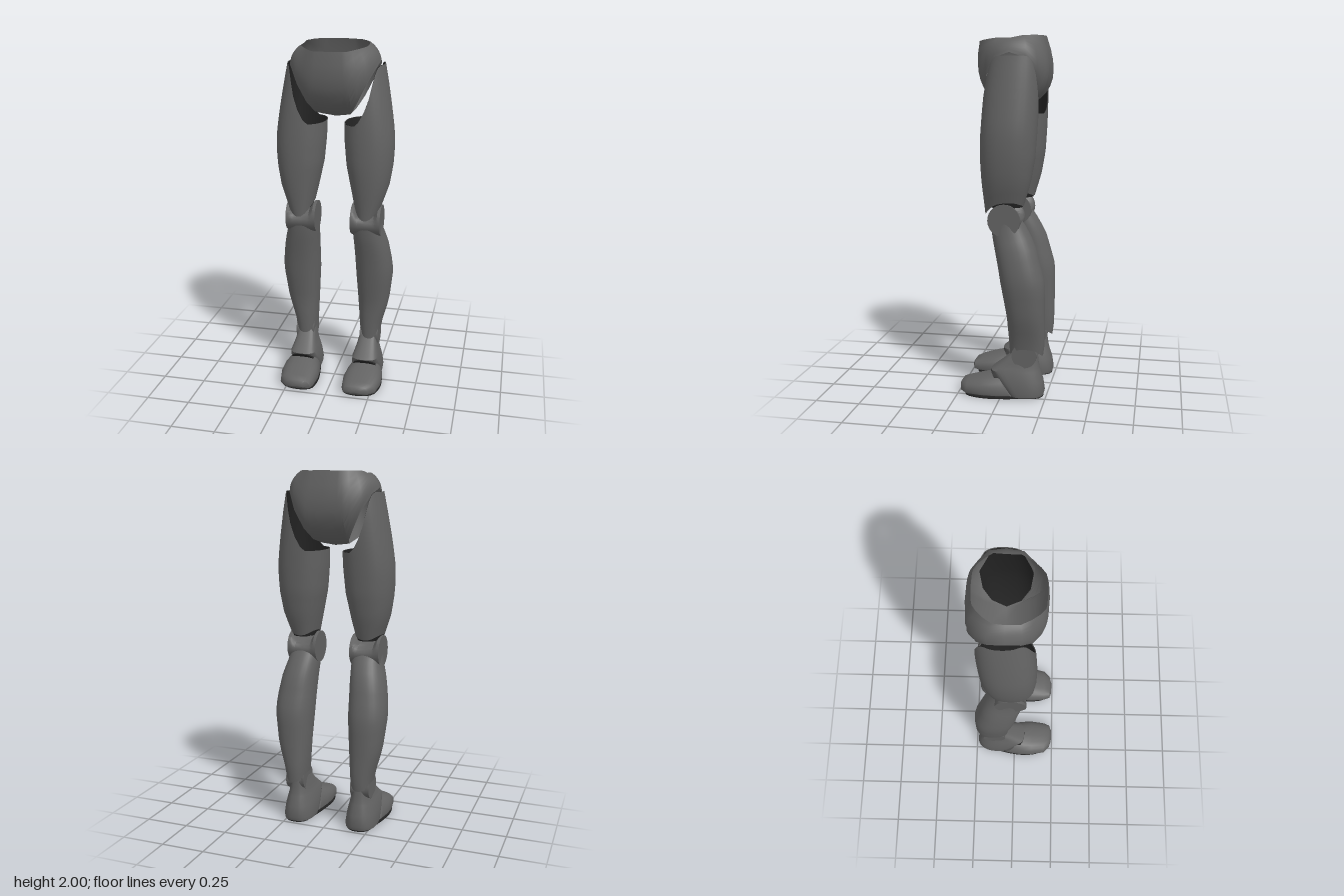
import * as THREE from 'three';
import { mergeVertices, toCreasedNormals } from 'three/addons/utils/BufferGeometryUtils.js';

const grey = new THREE.MeshStandardMaterial({ color: 0x626262, side: THREE.DoubleSide });
grey.name = 'mid grey';
const black = new THREE.MeshStandardMaterial({ color: 0x242424, side: THREE.DoubleSide });
black.name = 'near black';

// Skin a list of closed loops; optional flat caps on the first and last loop
function loft(loops, capStart = false, capEnd = false, crease = 0.7) {
  const n = loops[0].length, pos = loops.flat(2), idx = [];
  for (let i = 0; i < loops.length - 1; i++) {
    for (let j = 0; j < n; j++) {
      const k = (j + 1) % n, a = i * n + j, b = i * n + k;
      idx.push(a, a + n, b, b, a + n, b + n);
    }
  }
  const cap = (loop, flip) => {
    const c = pos.length / 3;
    const mid = [0, 1, 2].map(d => loop.reduce((s, p) => s + p[d], 0) / n);
    pos.push(...mid, ...loop.flat());
    for (let j = 0; j < n; j++) {
      const a = c + 1 + j, b = c + 1 + (j + 1) % n;
      idx.push(c, flip ? b : a, flip ? a : b);
    }
  };
  if (capStart) cap(loops[0], false);
  if (capEnd) cap(loops[loops.length - 1], true);
  const g = new THREE.BufferGeometry();
  g.setAttribute('position', new THREE.Float32BufferAttribute(pos, 3));
  g.setIndex(idx);
  return toCreasedNormals(mergeVertices(g, 1e-4), crease);
}

function part(name, geometry, material = grey) {
  const m = new THREE.Mesh(geometry, material);
  m.name = name;
  return m;
}

// Linear lookup in a table whose first column is the key
function lookup(table, key) {
  let i = 0;
  while (i < table.length - 2 && key > table[i + 1][0]) i++;
  const [a, b] = [table[i], table[i + 1]];
  const t = THREE.MathUtils.clamp((key - a[0]) / (b[0] - a[0]), 0, 1);
  return a.map((v, d) => v + (b[d] - v) * t);
}

const pw = (v, e) => Math.sign(v) * Math.pow(Math.abs(v), e);
const ring = (n, fn) => Array.from({ length: n }, (_, j) => fn(j / n * Math.PI * 2));

// Limb shell from rows [y, xIn, xOut, zBack, zFront], trimmed by bottom(a) and top(a)
function limb(table, bottom, top, inset = 0, rows = 14) {
  return Array.from({ length: rows + 1 }, (_, i) => ring(32, a => {
    const y = THREE.MathUtils.lerp(bottom(a), top(a), i / rows);
    const [, x0, x1, z0, z1] = lookup(table, y);
    return [(x0 + x1) / 2 + ((x1 - x0) / 2 - inset) * pw(Math.cos(a), 0.85), y,
      (z0 + z1) / 2 + ((z1 - z0) / 2 - inset) * pw(Math.sin(a), 0.85)];
  }));
}

// Hinge barrel along x with a saddle-shaped notch on top
function hinge(name, r, half, x, y, z) {
  const loops = [-1, -0.8, -0.65, -0.5, 0, 0.5, 0.65, 0.8, 1].map(t => {
    const dip = 0.45 * (1 - THREE.MathUtils.smoothstep(Math.abs(t), 0.4, 0.85));
    return ring(28, a => {
      const rr = r * (1 - dip * THREE.MathUtils.smoothstep(Math.sin(a), -0.2, 0.7));
      return [x + half * t, y + rr * Math.sin(a), z + rr * Math.cos(a)];
    });
  });
  return part(name, loft(loops, true, true));
}

// Pelvis shell: each column runs from waist rim to leg opening (or crotch)
function pelvis() {
  const zc = -0.045, backScale = [0.8, 1.1, 1];
  const cols = [ // rim, bulge, end
    [[0.18, 1.985, -0.045], [0.23, 1.968, -0.045], [0.25, 1.908, -0.045]],
    [[0.178, 1.985, 0.03], [0.232, 1.95, 0.045], [0.238, 1.88, 0.035]],
    [[0.15, 1.98, 0.08], [0.215, 1.88, 0.1], [0.187, 1.785, 0.09]],
    [[0.12, 1.975, 0.12], [0.16, 1.8, 0.17], [0.14, 1.69, 0.075]],
    [[0.09, 1.97, 0.145], [0.118, 1.72, 0.19], [0.103, 1.63, 0.03]],
    [[0.07, 1.97, 0.15], [0.09, 1.68, 0.205], [0.08, 1.605, -0.045]],
    [[0, 1.97, 0.155], [0, 1.66, 0.21], [0, 1.595, -0.045]],
  ];
  const around = [];
  const add = (k, sx, sz) => around.push(cols[k].map(([x, y, z], r) => sz > 0 ? [x * sx, y, z]
    : [x * sx, r === 0 ? y + 0.03 * (z - zc) / 0.2 : y, zc - (z - zc) * backScale[r]]));
  for (let k = 0; k <= 6; k++) add(k, 1, 1);
  for (let k = 5; k >= 0; k--) add(k, -1, 1);
  for (let k = 1; k <= 6; k++) add(k, -1, -1);
  for (let k = 5; k >= 1; k--) add(k, 1, -1);
  const curves = around.map(c =>
    new THREE.QuadraticBezierCurve3(...c.map(p => new THREE.Vector3(...p))));
  const loops = [];
  for (let i = 8; i >= 0; i--) loops.push(curves.map(c => c.getPoint(i / 8).toArray()));
  return part('pelvis', loft(loops, false, false, 1.0));
}

function leg() {
  const g = new THREE.Group();

  // Thigh: open shell, scooped out at the hip and arched over the knee, with a dark lining
  const thigh = [
    [1.03, 0.135, 0.245, -0.1, 0.095], [1.09, 0.122, 0.265, -0.12, 0.1],
    [1.21, 0.095, 0.307, -0.155, 0.112], [1.34, 0.068, 0.328, -0.178, 0.12],
    [1.47, 0.056, 0.333, -0.187, 0.118], [1.57, 0.053, 0.322, -0.192, 0.112],
    [1.67, 0.053, 0.307, -0.195, 0.104], [1.79, 0.055, 0.287, -0.195, 0.087],
    [1.89, 0.06, 0.268, -0.19, 0.075],
  ];
  const hip = a => 1.57 + 0.318 * THREE.MathUtils.smoothstep(Math.cos(a), -0.4, 0.85);
  const overKnee = a => 1.06 + 0.045 * Math.cos(a) ** 2 - 0.025 * Math.sin(a);
  g.add(part('thigh', loft(limb(thigh, overKnee, hip))));
  g.add(part('thighLining', loft(limb(thigh, () => 1.078, hip, 0.005), true), black));

  g.add(hinge('knee', 0.09, 0.085, 0.187, 1.01, -0.02));

  // Shin: bows backward at the calf and is arched over the ankle
  const shin = [
    [0.23, 0.142, 0.253, -0.23, -0.045], [0.31, 0.134, 0.262, -0.24, -0.04],
    [0.465, 0.124, 0.305, -0.24, -0.03], [0.66, 0.112, 0.328, -0.24, 0.005],
    [0.75, 0.11, 0.32, -0.215, 0.02], [0.86, 0.106, 0.302, -0.185, 0.043],
    [0.95, 0.102, 0.275, -0.14, 0.062], [1.02, 0.104, 0.27, -0.09, 0.06],
  ];
  g.add(part('shin', loft(limb(shin, a => 0.24 + 0.045 * Math.cos(a) ** 2,
    a => 0.995 - 0.025 * Math.sin(a)), false, true)));

  g.add(hinge('ankle', 0.07, 0.055, 0.197, 0.245, -0.13));

  // Heel shell: horizontal loops, wider toward the slanted front edge
  const heel = [ // y, half width, back, front
    [0.007, 0.086, -0.233, -0.05], [0.03, 0.09, -0.24, -0.028], [0.09, 0.086, -0.232, 0.018],
    [0.15, 0.076, -0.214, 0.063], [0.165, 0.07, -0.21, 0.045],
    [0.2, 0.06, -0.204, 0], [0.255, 0.048, -0.198, -0.06],
  ].map(([y, w, z0, z1]) => ring(32, a => {
    const s = Math.sin(a);
    return [0.19 + w * (1 + 0.18 * s) * pw(Math.cos(a), 0.7), y,
      (z0 + z1) / 2 + (z1 - z0) / 2 * pw(s, s > 0 ? 0.55 : 0.75)];
  }));
  g.add(part('heel', loft(heel, true, true)));

  // Flat-soled arch sections running backward: z, xIn, xOut, height, lean, underside
  const arches = rows => rows.map(([z, x0, x1, h, lean, base]) => ring(24, a => {
    const s = Math.sin(a);
    const y = s > 0 ? 0.03 + (h - 0.03) * pw(s, 0.8) : 0.03 + (0.03 - base) * pw(s, 0.5);
    return [(x0 + x1) / 2 + (x1 - x0) / 2 * pw(Math.cos(a), 0.7), y, z + lean * y];
  }));
  g.add(part('toeCap', loft(arches([
    [0.244, 0.133, 0.205, 0.05, 0, 0.029], [0.232, 0.1, 0.248, 0.067, 0, 0.014],
    [0.195, 0.086, 0.285, 0.08, 0, 0.007], [0.1, 0.077, 0.302, 0.104, 0.15, 0.007],
    [0.02, 0.083, 0.3, 0.118, 0.4, 0.007], [-0.07, 0.098, 0.285, 0.13, 0.7, 0.007],
  ]), true, true)));
  // Dark gap between heel shell and toe cap
  g.add(part('instepGap', loft(arches([
    [-0.041, 0.11, 0.272, 0.147, 0.72, 0.01], [-0.07, 0.11, 0.272, 0.147, 0.72, 0.01],
  ]), true, true), black));

  // Sole plate
  const outline = [[0.19, -0.233], [0.135, -0.21], [0.107, -0.1], [0.083, 0.04], [0.08, 0.12],
    [0.1, 0.2], [0.17, 0.222], [0.265, 0.195], [0.298, 0.1], [0.294, 0], [0.272, -0.11],
    [0.245, -0.21]].map(([x, z]) => new THREE.Vector3(x, -z, 0));
  const edge = new THREE.CatmullRomCurve3(outline, true).getPoints(40);
  const sole = new THREE.ExtrudeGeometry(
    new THREE.Shape(edge.map(p => new THREE.Vector2(p.x, p.y))), { depth: 0.008, bevelEnabled: false });
  sole.rotateX(-Math.PI / 2);
  g.add(part('sole', sole, black));
  return g;
}

export function createModel() {
  const model = new THREE.Group();
  model.name = 'legs';
  model.add(pelvis());
  const left = leg(), right = leg();
  left.name = 'leftLeg';
  right.name = 'rightLeg';
  right.scale.x = -1;
  model.add(left, right);
  return model;
}
